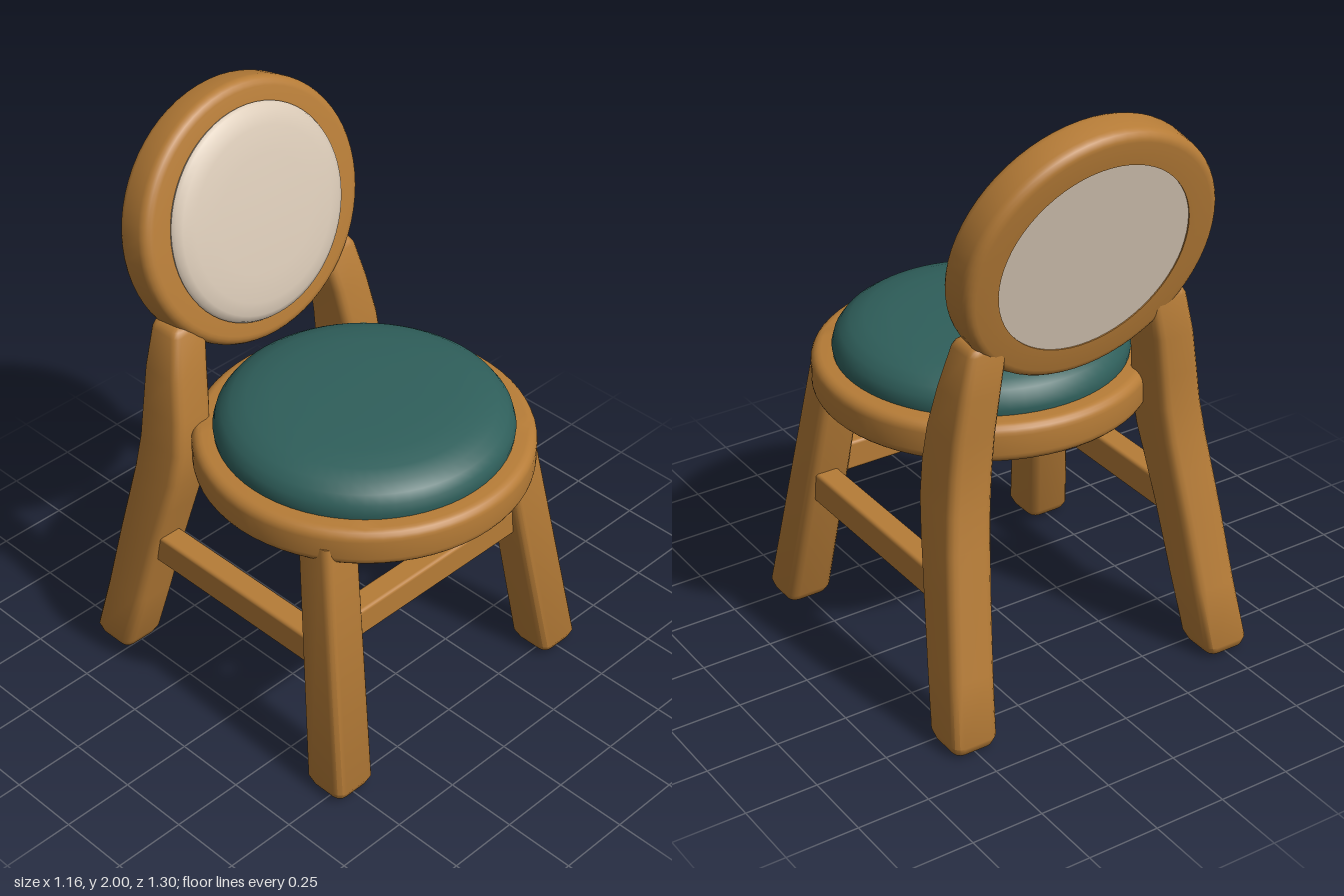
import * as THREE from 'three';
import { toCreasedNormals } from 'three/addons/utils/BufferGeometryUtils.js';
import { RoundedBoxGeometry } from 'three/addons/geometries/RoundedBoxGeometry.js';

const material = (name, color) => {
  const m = new THREE.MeshStandardMaterial({ color });
  m.name = name;
  return m;
};

// Lofted bar with rounded corners; each section is [y, centreX, centreZ, widthX, widthZ]
function loft(sections, side) {
  const steps = 4, ring = steps * 4, pos = [], index = [];
  for (const [y, cx, cz, wx, wz] of sections) {
    const r = Math.min(wx, wz) * 0.2;
    for (let corner = 0; corner < 4; corner++) {
      const sx = corner === 0 || corner === 3 ? 1 : -1, sz = corner < 2 ? 1 : -1;
      for (let k = 0; k < steps; k++) {
        const a = (corner + k / (steps - 1)) * Math.PI / 2;
        pos.push(side * cx + sx * (wx / 2 - r) + r * Math.cos(a), y,
          cz + sz * (wz / 2 - r) + r * Math.sin(a));
      }
    }
  }
  const last = sections.length - 1;
  for (let i = 0; i < last; i++) {
    for (let j = 0; j < ring; j++) {
      const a = i * ring + j, b = i * ring + (j + 1) % ring;
      index.push(a, a + ring, b, b, a + ring, b + ring);
    }
  }
  // End caps
  const bottom = pos.length / 3, top = bottom + 1, s0 = sections[0], s1 = sections[last];
  pos.push(side * s0[1], s0[0], s0[2], side * s1[1], s1[0], s1[2]);
  for (let j = 0; j < ring; j++) {
    const n = (j + 1) % ring;
    index.push(bottom, j, n, top, last * ring + n, last * ring + j);
  }
  const g = new THREE.BufferGeometry();
  g.setAttribute('position', new THREE.Float32BufferAttribute(pos, 3));
  g.setIndex(index);
  return toCreasedNormals(g, 0.75);
}

// Turned part from a [radius, y] profile
const turned = (profile) => toCreasedNormals(
  new THREE.LatheGeometry(profile.map(([r, y]) => new THREE.Vector2(r, y)), 64), 0.75);

// Closed hoop profile with softened outer edges
function hoopProfile(inner, outer, y0, y1, r) {
  const p = [[inner, y0]];
  for (let k = 0; k <= 5; k++) {
    const a = k / 5 * Math.PI / 2;
    p.push([outer - r + r * Math.sin(a), y0 + r - r * Math.cos(a)]);
  }
  for (let k = 0; k <= 5; k++) {
    const a = k / 5 * Math.PI / 2;
    p.push([outer - r + r * Math.cos(a), y1 - r + r * Math.sin(a)]);
  }
  p.push([inner, y1], [inner, y0]);
  return p;
}

export function createModel() {
  const wood = material('warm wood', 0xb67c37);
  const teal = material('teal fabric', 0x2f5f5b);
  const cream = material('cream fabric', 0xdacab7);
  const model = new THREE.Group();
  model.name = 'chair';
  const add = (name, geometry, mat, parent = model) => {
    const mesh = new THREE.Mesh(geometry, mat);
    mesh.name = name;
    parent.add(mesh);
    return mesh;
  };

  // Round seat
  const seat = new THREE.Group();
  seat.name = 'seat';
  seat.position.z = 0.092;
  model.add(seat);
  add('seatHoop', turned(hoopProfile(0.45, 0.56, 0.858, 0.992, 0.035)), wood, seat);
  add('seatCushion', turned([
    [0, 0.868], [0.449, 0.868], [0.449, 0.985], [0.487, 0.987], [0.49, 1.01], [0.482, 1.04],
    [0.462, 1.068], [0.43, 1.09], [0.38, 1.107], [0.3, 1.118], [0.18, 1.123], [0, 1.125],
  ]), teal, seat);

  // Round reclined back, turned about its own axis
  const back = new THREE.Group();
  back.name = 'backrest';
  back.position.set(0, 1.565, -0.465);
  back.rotation.x = -THREE.MathUtils.degToRad(12.5);
  model.add(back);
  const hoop = add('backHoop', turned(hoopProfile(0.345, 0.46, -0.07, 0.07, 0.035)), wood, back);
  const pad = add('backCushion', turned([
    [0, -0.066], [0.344, -0.066], [0.344, 0.066], [0.358, 0.068], [0.362, 0.078], [0.355, 0.091],
    [0.335, 0.102], [0.29, 0.111], [0.2, 0.117], [0, 0.12],
  ]), cream, back);
  hoop.rotation.x = pad.rotation.x = Math.PI / 2;
  hoop.scale.z = 0.955;

  // Legs and side rungs, mirrored
  const frontLeg = [
    [0.005, 0.502, 0.482, 0.11, 0.11], [0.014, 0.502, 0.482, 0.14, 0.14],
    [0.04, 0.5, 0.48, 0.162, 0.166], [0.92, 0.408, 0.335, 0.148, 0.14],
  ];
  const backLeg = [
    [0, 0.502, -0.565, 0.11, 0.12], [0.012, 0.502, -0.565, 0.14, 0.148],
    [0.04, 0.5, -0.562, 0.162, 0.172], [0.25, 0.478, -0.511, 0.16, 0.178],
    [0.5, 0.452, -0.457, 0.16, 0.186], [0.66, 0.433, -0.42, 0.16, 0.194],
    [0.78, 0.417, -0.394, 0.158, 0.202], [0.9, 0.401, -0.381, 0.156, 0.2],
    [1.02, 0.387, -0.384, 0.154, 0.188], [1.16, 0.366, -0.398, 0.15, 0.164],
    [1.3, 0.338, -0.41, 0.14, 0.128], [1.318, 0.335, -0.412, 0.125, 0.115],
    [1.327, 0.334, -0.412, 0.1, 0.09],
  ];
  for (const [label, side] of [['left', 1], ['right', -1]]) {
    add(label + 'FrontLeg', loft(frontLeg, side), wood);
    add(label + 'BackLeg', loft(backLeg, side), wood);
    const rung = add(label + 'SideRung', new RoundedBoxGeometry(0.085, 0.112, 0.82, 2, 0.012), wood);
    rung.position.set(side * 0.465, 0.49, -0.02);
  }

  // Front rung
  add('frontRung', new RoundedBoxGeometry(0.82, 0.105, 0.085, 2, 0.012), wood)
    .position.set(0, 0.56, 0.385);

  return model;
}
